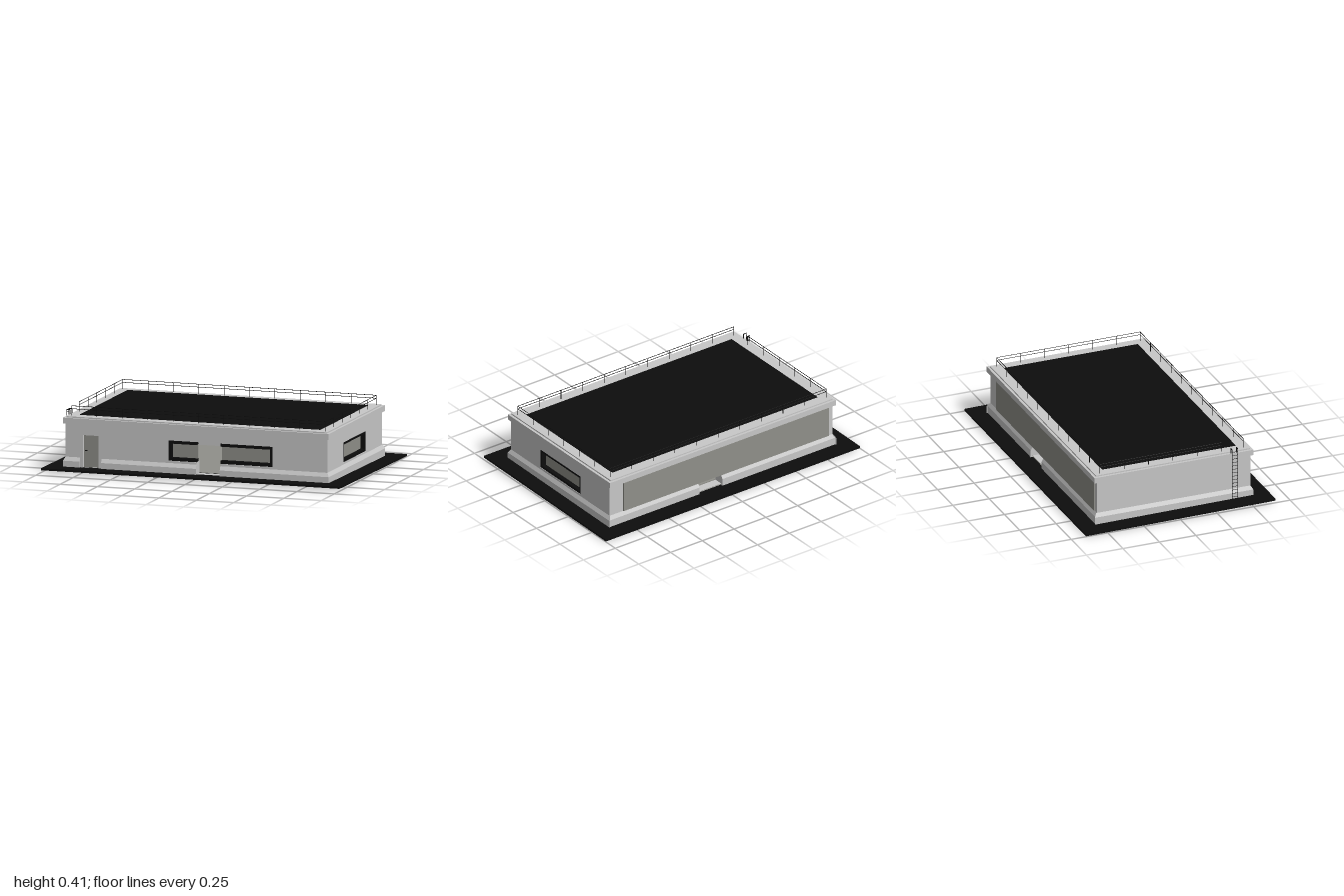
import * as THREE from 'three';

const mat = (name, color, side = THREE.FrontSide) => {
  const m = new THREE.MeshStandardMaterial({ color, side });
  m.name = name;
  return m;
};

// Half sizes of the building body and the main levels
const WX = 0.877, WZ = 0.529, BASE = 0.02, TOP = 0.305, THICK = 0.06;

export function createModel() {
  const model = new THREE.Group();
  model.name = 'flatRoofBuilding';
  const plaster = mat('plaster', 0xc8c8c8);
  const grey = mat('warmGrey', 0x90908a);
  const black = mat('black', 0x0d0d0d);

  const add = (parent, name, geometry, material) => {
    const m = new THREE.Mesh(geometry, material);
    m.name = name;
    parent.add(m);
    return m;
  };
  // Box given by its minimum and maximum on each axis
  const box = (parent, name, material, x0, x1, y0, y1, z0, z1) => {
    const m = add(parent, name, new THREE.BoxGeometry(x1 - x0, y1 - y0, z1 - z0), material);
    m.position.set((x0 + x1) / 2, (y0 + y1) / 2, (z0 + z1) / 2);
    return m;
  };
  const poly = (points, Type = THREE.Shape) => new Type(points.map(p => new THREE.Vector2(...p)));
  const rect = (x0, x1, y0, y1) => [[x0, y0], [x1, y0], [x1, y1], [x0, y1]];
  // Flat panel with openings, its outer face on z = front
  const panel = (parent, name, material, outline, holes, depth, front) => {
    const s = poly(outline);
    s.holes = holes.map(h => poly(h, THREE.Path));
    const g = new THREE.ExtrudeGeometry(s, { depth, bevelEnabled: false });
    g.translate(0, 0, front - depth);
    return add(parent, name, g, material);
  };

  // Ground slab, very slightly inclined, and the floor
  const slab = add(model, 'groundSlab', new THREE.BoxGeometry(2, 0.013, 1.3), black);
  slab.position.y = 0.0155;
  slab.rotation.x = -0.0096;
  box(model, 'floor', grey, -0.807, 0.807, 0, 0.029, -0.457, 0.457);

  // Each side has its outer wall face on local z = 0
  const side = (name, angle, dist) => {
    const g = new THREE.Group();
    g.name = name;
    g.rotation.y = angle;
    g.position.set(Math.sin(angle) * dist, 0, Math.cos(angle) * dist);
    model.add(g);
    return g;
  };
  const front = side('frontSide', 0, WZ);
  const back = side('backSide', Math.PI, WZ - 0.006);
  const right = side('windowSide', Math.PI / 2, WX);
  const left = side('ladderSide', -Math.PI / 2, WX);

  // Plinth run with sloped top; its ends are mitred where they meet a corner
  const OUT = 0.014;
  const plinth = (parent, x0, x1, mitre0 = 0, mitre1 = 0) => {
    const s = poly([[0, BASE - 0.004], [OUT, BASE - 0.004], [OUT, 0.065], [0, 0.09]]);
    const g = new THREE.ExtrudeGeometry(s, { depth: 1, bevelEnabled: false });
    const p = g.attributes.position;
    for (let i = 0; i < p.count; i++) {
      const out = p.getX(i), t = p.getZ(i);
      p.setXYZ(i, t < 0.5 ? x1 + out * mitre1 : x0 - out * mitre0, p.getY(i), out);
    }
    g.computeVertexNormals();
    add(parent, 'plinth', g, plaster);
  };
  plinth(front, -WX, -0.78, 1, 0);
  plinth(front, -0.635, 0);
  plinth(front, 0.16, WX, 0, 1);
  plinth(back, -WX, -0.18, 1, 0);
  plinth(back, 0, WX, 0, 1);
  plinth(right, -WZ, WZ, 1, 1);
  plinth(left, -WZ, WZ, 1, 1);

  // Walls
  const wide = rect(-WX, WX, BASE, TOP);
  const entrance = [[-0.19, 0.105], [0, 0.105], [0, 0.027], [0.16, 0.027], [0.16, 0.105],
    [0.51, 0.105], [0.51, 0.235], [-0.19, 0.235]];
  panel(front, 'frontWall', plaster, wide, [entrance, rect(-0.76, -0.655, 0.027, 0.235)], THICK, 0);
  const backDoor = rect(-0.18, 0, 0.027, 0.255);
  panel(back, 'backWall', plaster, wide, [backDoor], THICK, 0);
  panel(back, 'backPanel', grey, rect(-0.77, 0.845, 0.09, TOP), [backDoor], 0.006, 0.006);
  const SZ = WZ - THICK + 0.005;
  panel(right, 'windowWall', plaster, rect(-WZ + 0.006, WZ - 0.006, BASE, TOP),
    [rect(-0.215, 0.215, 0.103, 0.232)], THICK, -0.0005);
  panel(left, 'ladderWall', plaster, rect(-SZ, SZ, BASE, TOP), [], THICK, 0);

  // Window: black bars around a recessed pane; jambs are optional
  const windowUnit = (parent, x0, x1, y0, y1, bar, jamb0, jamb1) => {
    const g = new THREE.Group();
    g.name = 'window';
    parent.add(g);
    box(g, 'pane', grey, x0, x1, y0, y1, -0.04, -0.032);
    box(g, 'sillBar', black, x0, x1, y0, y0 + bar, -0.045, -0.003);
    box(g, 'headBar', black, x0, x1, y1 - bar, y1, -0.045, -0.003);
    if (jamb0) box(g, 'jamb', black, x0, x0 + bar, y0, y1, -0.045, -0.003);
    if (jamb1) box(g, 'jamb', black, x1 - bar, x1, y0, y1, -0.045, -0.003);
  };
  windowUnit(front, -0.19, 0, 0.105, 0.235, 0.02, true, false);
  windowUnit(front, 0.16, 0.51, 0.105, 0.235, 0.02, false, true);
  windowUnit(right, -0.215, 0.215, 0.103, 0.232, 0.016, true, true);

  // Side door with handle
  box(front, 'door', grey, -0.76, -0.655, 0.027, 0.235, -0.03, -0.018);
  box(front, 'doorHandle', black, -0.75, -0.738, 0.132, 0.136, -0.018, -0.012);

  // Roof: cornice, parapet cap and black covering
  box(model, 'cornice', plaster, -0.89, 0.89, TOP, 0.342, -0.544, 0.544);
  box(model, 'parapetCap', plaster, -0.873, 0.873, 0.342, 0.35, -0.528, 0.528);
  box(model, 'roofCovering', black, -0.806, 0.806, 0.348, 0.353, -0.457, 0.457);

  // Thin rod between two points
  const rod = (parent, name, a, b, r = 0.0018) => {
    const p = new THREE.Vector3(...a), d = new THREE.Vector3(...b).sub(p);
    const m = add(parent, name, new THREE.CylinderGeometry(r, r, d.length(), 6), black);
    m.position.copy(p).addScaledVector(d, 0.5);
    m.quaternion.setFromUnitVectors(new THREE.Vector3(0, 1, 0), d.normalize());
  };

  // Roof railing, open beside the ladder
  const railing = new THREE.Group();
  railing.name = 'railing';
  model.add(railing);
  const RX = 0.85, RZ = 0.492;
  const railRun = (x0, z0, x1, z1, bays) => {
    for (const y of [0.393, 0.412]) rod(railing, 'rail', [x0, y, z0], [x1, y, z1]);
    for (let i = 0; i <= bays; i++) {
      const t = i / bays, x = x0 + (x1 - x0) * t, z = z0 + (z1 - z0) * t;
      rod(railing, 'post', [x, 0.348, z], [x, 0.412, z]);
    }
  };
  railRun(-RX, RZ, RX, RZ, 10);
  railRun(-RX, -RZ, RX, -RZ, 10);
  railRun(RX, RZ, RX, -RZ, 6);
  railRun(-RX, 0.342, -RX, -RZ, 5);

  // Ladder with stiles hooked over the cornice
  const ladder = new THREE.Group();
  ladder.name = 'ladder';
  model.add(ladder);
  for (const z of [0.394, 0.432]) {
    rod(ladder, 'stile', [-0.903, 0.025, z], [-0.903, 0.376, z], 0.0025);
    rod(ladder, 'hookTop', [-0.904, 0.375, z], [-0.881, 0.375, z], 0.0025);
    rod(ladder, 'hookEnd', [-0.881, 0.376, z], [-0.881, 0.341, z], 0.0025);
  }
  for (let i = 0; i < 14; i++) {
    const y = 0.045 + i * 0.024;
    rod(ladder, 'rung', [-0.903, y, 0.394], [-0.903, y, 0.432]);
  }
  return model;
}
